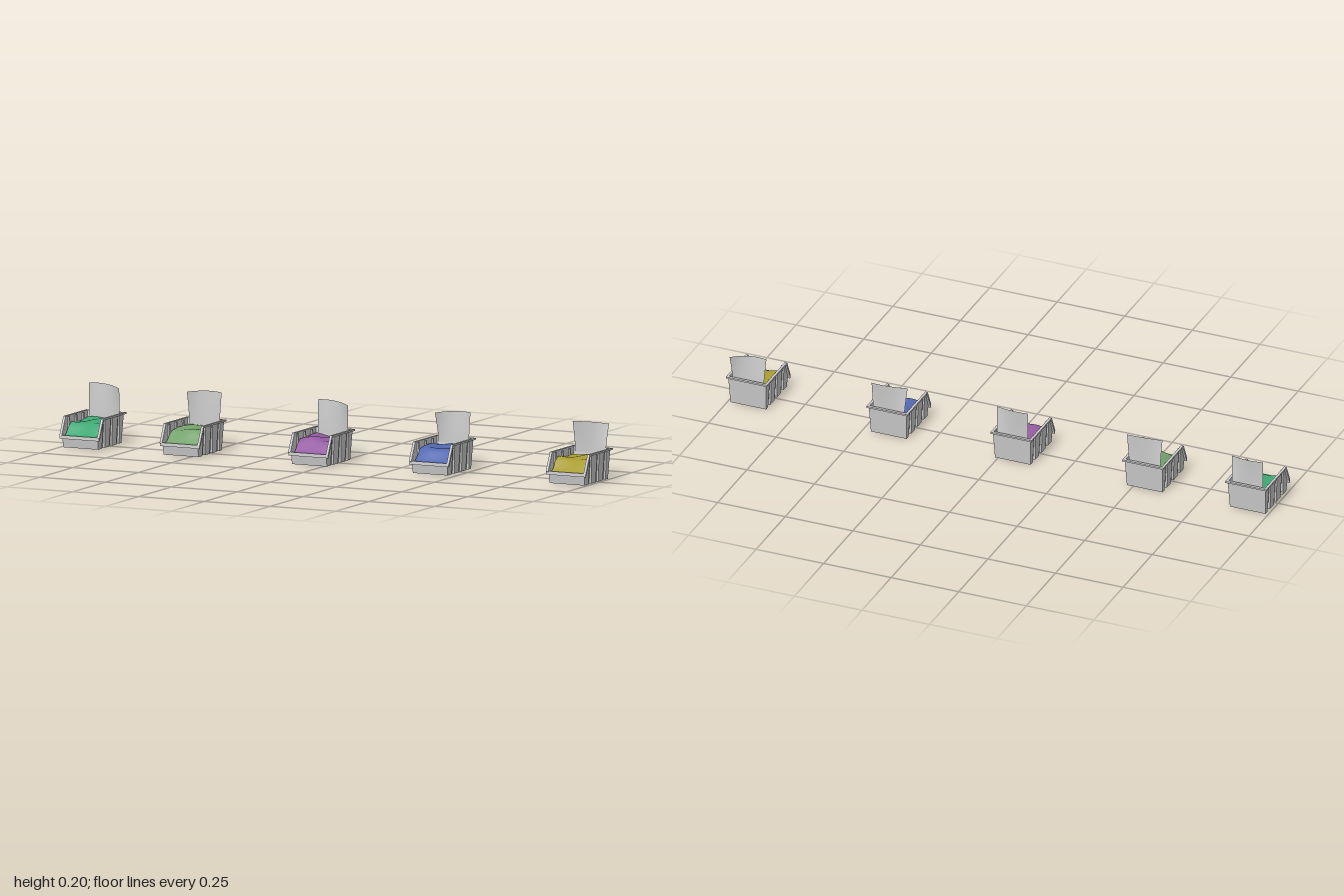
import * as THREE from 'three';

const grey = new THREE.MeshStandardMaterial({ color: 0xcccccc, side: THREE.DoubleSide });

function addMesh(parent, name, geometry, material = grey) {
  const mesh = new THREE.Mesh(geometry, material);
  mesh.name = name;
  parent.add(mesh);
  return mesh;
}

// Perimeter of the bin: pairs of bottom and top points, with grooves in the sides
function binOutline(inset) {
  const side = [[0.092, 0.098, 0.04, 0, 0], [0.071, 0.068, 0.1, 0, 0]];
  for (const c of [0.052, -0.003, -0.057]) {
    side.push([c + 0.011, c + 0.006, 0.1, 0, 0], [c + 0.008, c + 0.004, 0.1, 0.007, 0.004],
      [c - 0.008, c - 0.004, 0.1, 0.007, 0.004], [c - 0.011, c - 0.006, 0.1, 0, 0]);
  }
  side.push([-0.085, -0.095, 0.1, 0, 0]);
  const right = side.map(([zb, zt, yt, db, dt]) => {
    const first = zb > 0.09, last = zb < -0.084;
    const dz = first ? -inset : last ? inset : 0;
    return {
      b: [0.066 - db - inset, inset, zb + dz],
      t: [0.066 + 0.04 * yt - dt - inset, yt, zt + dz],
    };
  });
  const left = right.map(({ b, t }) => ({ b: [-b[0], b[1], b[2]], t: [-t[0], t[1], t[2]] })).reverse();
  return [...right, ...left];
}

// Flat-faced wall around the outline
function wallGeometry(outline, inward) {
  const pos = [];
  outline.forEach((p, i) => {
    const q = outline[(i + 1) % outline.length];
    const [m, n] = inward ? [q, p] : [p, q];
    pos.push(...m.b, ...n.b, ...n.t, ...m.b, ...n.t, ...m.t);
  });
  const g = new THREE.BufferGeometry();
  g.setAttribute('position', new THREE.Float32BufferAttribute(pos, 3));
  g.computeVertexNormals();
  return g;
}

function floorGeometry(outline) {
  const g = new THREE.ShapeGeometry(new THREE.Shape(outline.map(({ b }) => new THREE.Vector2(b[0], b[2]))));
  return g.rotateX(Math.PI / 2).translate(0, outline[0].b[1], 0);
}

// Rim strip following the side profile, drawn in z and y and extruded across x
function sideRimGeometry() {
  const profile = [[-0.102, 0.098], [-0.102, 0.104], [0.072, 0.104], [0.103, 0.04],
    [0.097, 0.037], [0.067, 0.098]];
  const shape = new THREE.Shape(profile.map(([z, y]) => new THREE.Vector2(-z, y)));
  return new THREE.ExtrudeGeometry(shape, { depth: 0.009, bevelEnabled: false }).rotateY(Math.PI / 2);
}

// Grid bent by a rule: f(u, v) with u and v from -1 to 1 gives [x, y, z]
function sheetGeometry(nu, nv, f) {
  const g = new THREE.PlaneGeometry(2, 2, nu, nv);
  const p = g.attributes.position;
  for (let i = 0; i < p.count; i++) p.setXYZ(i, ...f(p.getX(i), p.getY(i)));
  g.computeVertexNormals();
  return g;
}

function makeBin() {
  const bin = new THREE.Group();
  bin.name = 'bin';
  const outer = binOutline(0), inner = binOutline(0.003);
  addMesh(bin, 'outerWall', wallGeometry(outer, false));
  addMesh(bin, 'innerWall', wallGeometry(inner, true));
  addMesh(bin, 'base', floorGeometry(outer));
  addMesh(bin, 'innerFloor', floorGeometry(inner));
  // Rim on both sides, the back and the low front
  for (const x of [0.067, -0.076]) addMesh(bin, 'sideRim', sideRimGeometry()).position.x = x;
  addMesh(bin, 'backRim', new THREE.BoxGeometry(0.135, 0.006, 0.01)).position.set(0, 0.101, -0.097);
  const lip = addMesh(bin, 'frontLip', new THREE.BoxGeometry(0.15, 0.012, 0.005));
  lip.position.set(0, 0.036, 0.0995);
  lip.rotation.x = -0.1;
  return bin;
}

// Rumpled cloth that rises from the front lip and levels off to the back
function clothGeometry(seed, backZ) {
  return sheetGeometry(24, 32, (u, v) => {
    const z = THREE.MathUtils.lerp(0.094, backZ, (v + 1) / 2);
    const rise = THREE.MathUtils.smoothstep(-z, -0.1, -0.035);
    const wave = 0.0035 * Math.sin(2.6 * u + 2 * v + seed) + 0.002 * Math.sin(4 * v - 3 * u + seed * 2.3);
    const y = 0.037 + 0.044 * rise + wave * Math.min(1, 0.3 + rise);
    return [u * (0.0615 - 0.0015 * Math.abs(Math.sin(9 * v + seed))), y, z];
  });
}

// Curling card standing at the back, flaring towards the top
function cardGeometry({ twist, bow, top, slope, shift }) {
  return sheetGeometry(16, 12, (u, v) => {
    const t = (v + 1) / 2, flare = Math.pow(t, 1.4);
    const y = 0.085 + t * (top - 0.085 + slope * u - 0.004 * u * u);
    const z = -0.086 + flare * (twist * u + bow * (u * u - 0.4));
    return [u * (0.057 + 0.005 * t) + shift * t, y, z];
  });
}

export function createModel() {
  const model = new THREE.Group();
  model.name = 'binRow';
  const bins = [
    { x: -0.924, color: 0x3fa874, seed: 0.4, backZ: -0.085, twist: 0.010, bow: 0.014, top: 0.198, slope: -0.005, shift: 0.004 },
    { x: -0.543, color: 0x74a26c, seed: 1.9, backZ: -0.085, twist: -0.008, bow: 0.009, top: 0.2, slope: 0.002, shift: 0.002 },
    { x: -0.055, color: 0x955ca2, seed: 3.1, backZ: -0.085, twist: 0.012, bow: 0.012, top: 0.198, slope: -0.005, shift: 0.004 },
    { x: 0.404, color: 0x5268b0, seed: 4.2, backZ: -0.083, twist: -0.011, bow: 0.013, top: 0.193, slope: 0.003, shift: 0 },
    { x: 0.924, color: 0xa89c32, seed: 5.5, backZ: -0.07, twist: -0.014, bow: -0.01, top: 0.192, slope: -0.002, shift: -0.002 },
  ];
  for (const b of bins) {
    const unit = makeBin();
    unit.position.x = b.x;
    const clothMaterial = new THREE.MeshStandardMaterial({ color: b.color, side: THREE.DoubleSide });
    addMesh(unit, 'cloth', clothGeometry(b.seed, b.backZ), clothMaterial);
    addMesh(unit, 'card', cardGeometry(b));
    model.add(unit);
  }
  return model;
}
